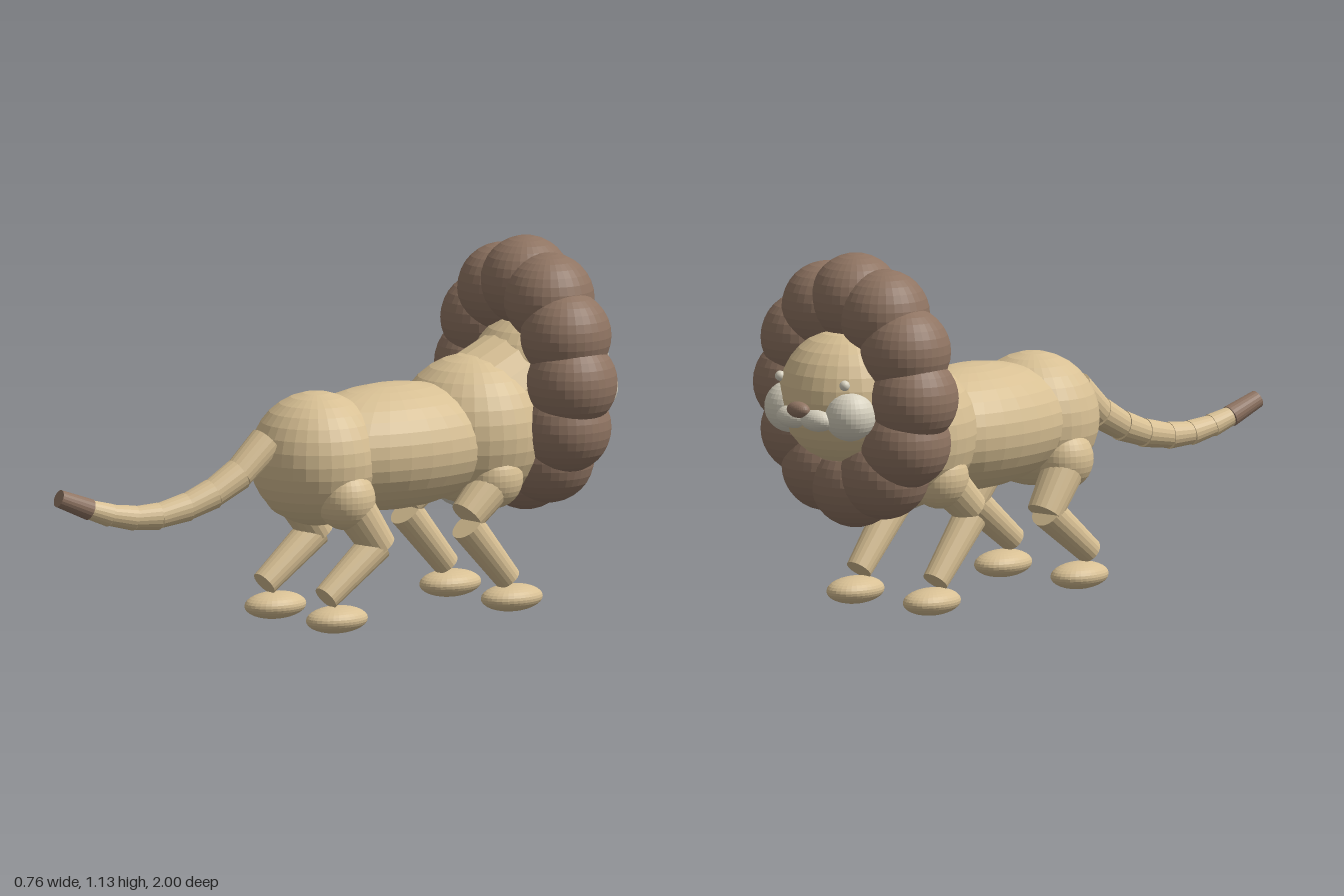
import * as THREE from 'three';

function material(name, color) {
  const m = new THREE.MeshStandardMaterial({ color, flatShading: true });
  m.name = name;
  return m;
}

export function createModel() {
  const tan = material('tan fur', 0xd8c094);
  const brown = material('brown mane', 0x8f7462);
  const cream = material('cream', 0xd8d2c0);
  const model = new THREE.Group();
  model.name = 'maned cat';

  // Ellipsoid at a centre with three radii
  function ball(name, mat, center, radii, parent = model) {
    const mesh = new THREE.Mesh(new THREE.SphereGeometry(1, 32, 16), mat);
    mesh.name = name;
    mesh.position.set(...center);
    mesh.scale.set(...radii);
    parent.add(mesh);
    return mesh;
  }

  // Tapered cylinder running from a (radius ra) to b (radius rb)
  function limb(name, mat, a, b, ra, rb, parent = model) {
    const start = new THREE.Vector3(...a);
    const end = new THREE.Vector3(...b);
    const dir = end.clone().sub(start);
    const mesh = new THREE.Mesh(new THREE.CylinderGeometry(rb, ra, dir.length(), 20), mat);
    mesh.name = name;
    mesh.position.copy(start).add(end).multiplyScalar(0.5);
    mesh.quaternion.setFromUnitVectors(new THREE.Vector3(0, 1, 0), dir.normalize());
    parent.add(mesh);
    return mesh;
  }

  // Body
  ball('hindquarters', tan, [0, 0.52, 0.08], [0.205, 0.207, 0.205]);
  ball('barrel', tan, [0, 0.53, -0.2], [0.226, 0.195, 0.4]);
  ball('chest', tan, [0, 0.55, -0.51], [0.235, 0.235, 0.235]);
  ball('chestPatch', cream, [0, 0.44, -0.51], [0.12, 0.135, 0.16]);
  limb('neck', tan, [0, 0.58, -0.5], [0, 0.69, -0.72], 0.19, 0.18);

  // Mane: a ring of overlapping balls
  const mane = new THREE.Group();
  mane.name = 'mane';
  model.add(mane);
  for (let i = 0; i < 12; i++) {
    const t = (i / 12) * Math.PI * 2;
    ball('maneTuft', brown,
      [0.24 * Math.cos(t), 0.705 + 0.285 * Math.sin(t), -0.715], [0.14, 0.14, 0.14], mane);
  }

  // Head and face, looking towards -z
  const head = new THREE.Group();
  head.name = 'head';
  model.add(head);
  ball('skull', tan, [0, 0.695, -0.755], [0.21, 0.21, 0.21], head);
  for (const s of [-1, 1]) {
    ball('cheek', cream, [s * 0.125, 0.66, -0.875], [0.08, 0.08, 0.08], head);
    ball('muzzlePad', cream, [s * 0.05, 0.645, -0.94], [0.06, 0.036, 0.045], head);
    ball('eye', cream, [s * 0.135, 0.757, -0.91], [0.016, 0.016, 0.016], head);
  }
  ball('nose', brown, [0, 0.675, -0.973], [0.042, 0.025, 0.027], head);

  // Legs: [name, joint, knee, shin top, ankle, foot] as [y, z]
  const legs = [
    ['hindLeg', [0.41, 0.07], [0.255, -0.04], [0.262, -0.03], [0.115, 0.16], 0.118],
    ['frontLeg', [0.42, -0.49], [0.315, -0.375], [0.285, -0.375], [0.105, -0.53], -0.545],
  ];
  for (const [name, joint, knee, shin, ankle, footZ] of legs) {
    for (const s of [-1, 1]) {
      const leg = new THREE.Group();
      leg.name = name;
      model.add(leg);
      const x = s * 0.16;
      ball('thigh', tan, [s * 0.14, ...joint], [0.09, 0.095, 0.092], leg);
      limb('upperLeg', tan, [s * 0.155, ...joint], [x, ...knee], 0.068, 0.055, leg);
      limb('lowerLeg', tan, [x, ...shin], [x, ...ankle], 0.053, 0.041, leg);
      ball('foot', tan, [x, 0.045, footZ], [0.073, 0.042, 0.105], leg);
    }
  }

  // Tail: tapering segments along a curve, with a brown tip
  const tail = new THREE.Group();
  tail.name = 'tail';
  model.add(tail);
  const path = [
    [0, 0.59, 0.27], [0, 0.5, 0.375], [-0.005, 0.448, 0.47], [-0.014, 0.415, 0.56],
    [-0.026, 0.395, 0.66], [-0.042, 0.395, 0.74], [-0.058, 0.41, 0.82],
    [-0.074, 0.432, 0.885], [-0.09, 0.475, 0.99],
  ];
  for (let i = 0; i < path.length - 1; i++) {
    const tip = i === path.length - 2;
    const r = 0.053 - 0.0028 * i;
    limb(tip ? 'tailTip' : 'tailSegment', tip ? brown : tan,
      path[i], path[i + 1], r, r - 0.006, tail);
  }
  return model;
}
